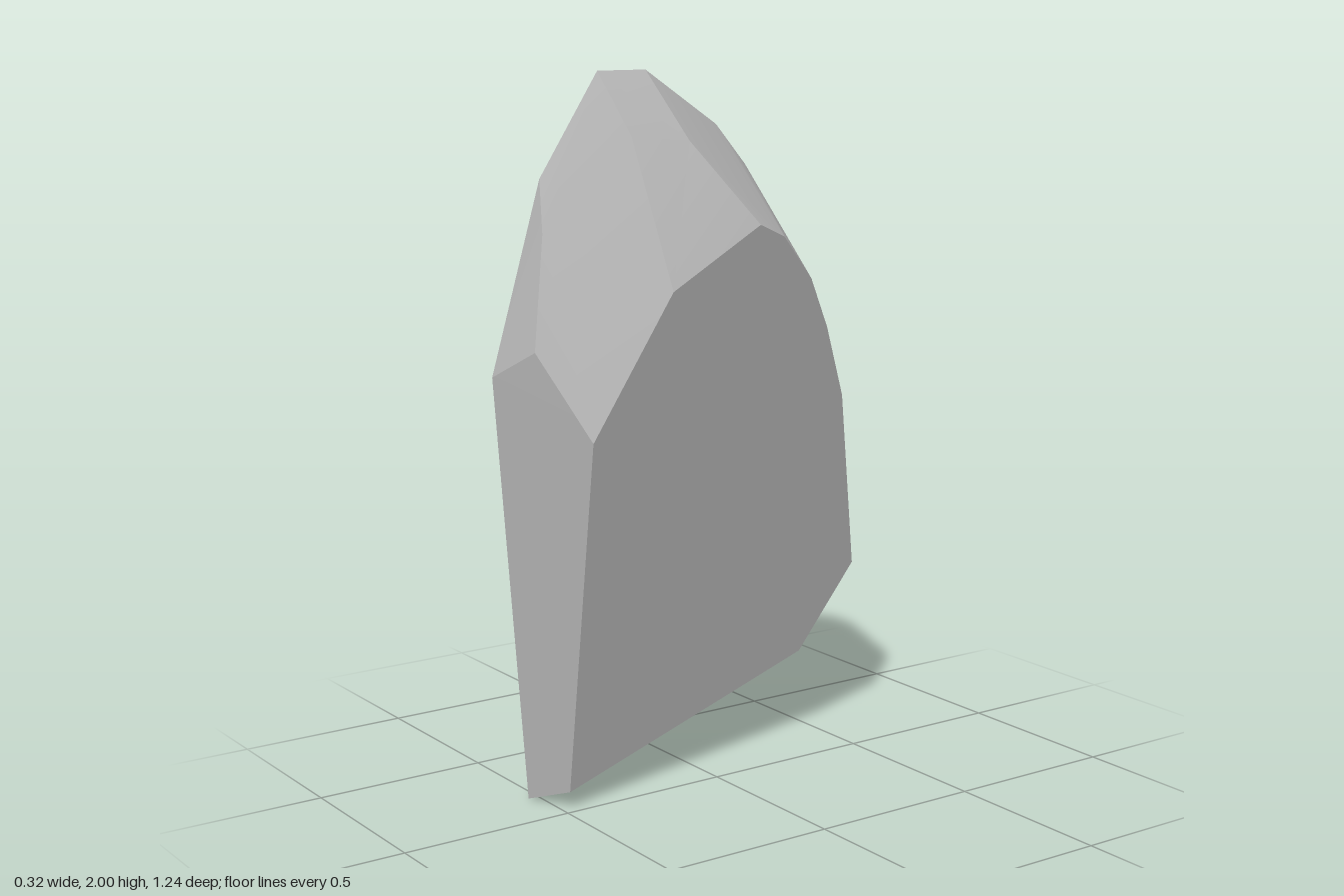
import * as THREE from 'three';
import { ConvexGeometry } from 'three/addons/geometries/ConvexGeometry.js';
import { toCreasedNormals } from 'three/addons/utils/BufferGeometryUtils.js';

export function createModel() {
  const group = new THREE.Group();
  group.name = 'stoneShard';
  const stone = new THREE.MeshStandardMaterial({ color: 0xb4b4b4 });
  stone.name = 'stone grey';

  // Outline of the flat split face at x = -0.16, as [z, y]
  const flatFace = [
    [0.53, 0], [0.62, 1.2], [0.465, 1.72], [0.28, 2], [0.125, 2], [-0.11, 1.845],
    [-0.21, 1.73], [-0.3, 1.59], [-0.38, 1.41], [-0.45, 1.22], [-0.615, 0.51], [-0.415, 0.265],
  ].map(([z, y]) => new THREE.Vector3(-0.16, y, z));

  // Outline of the large slanted face, as [z, y], laid on its sloping plane
  const slantedFace = [
    [0.48, 0.05], [0.495, 1.055], [0.25, 1.435], [-0.06, 1.59],
    [-0.16, 1.55], [-0.29, 1.42], [-0.38, 1.27], [-0.48, 1.055],
  ].map(([z, y]) => new THREE.Vector3(-0.122 + 0.16 * y + 0.196 * z, y, z));

  // Corners of the chipped facets between the two faces
  const chips = [
    [-0.02, 1.28, 0.57], [-0.09, 1.58, 0.5], [-0.04, 1.83, 0.25], [0, 1.815, 0.09],
  ].map((p) => new THREE.Vector3(...p));

  const hull = new ConvexGeometry([...flatFace, ...slantedFace, ...chips]);
  const shard = new THREE.Mesh(toCreasedNormals(hull, 0.3), stone);
  shard.name = 'shard';
  group.add(shard);
  return group;
}
